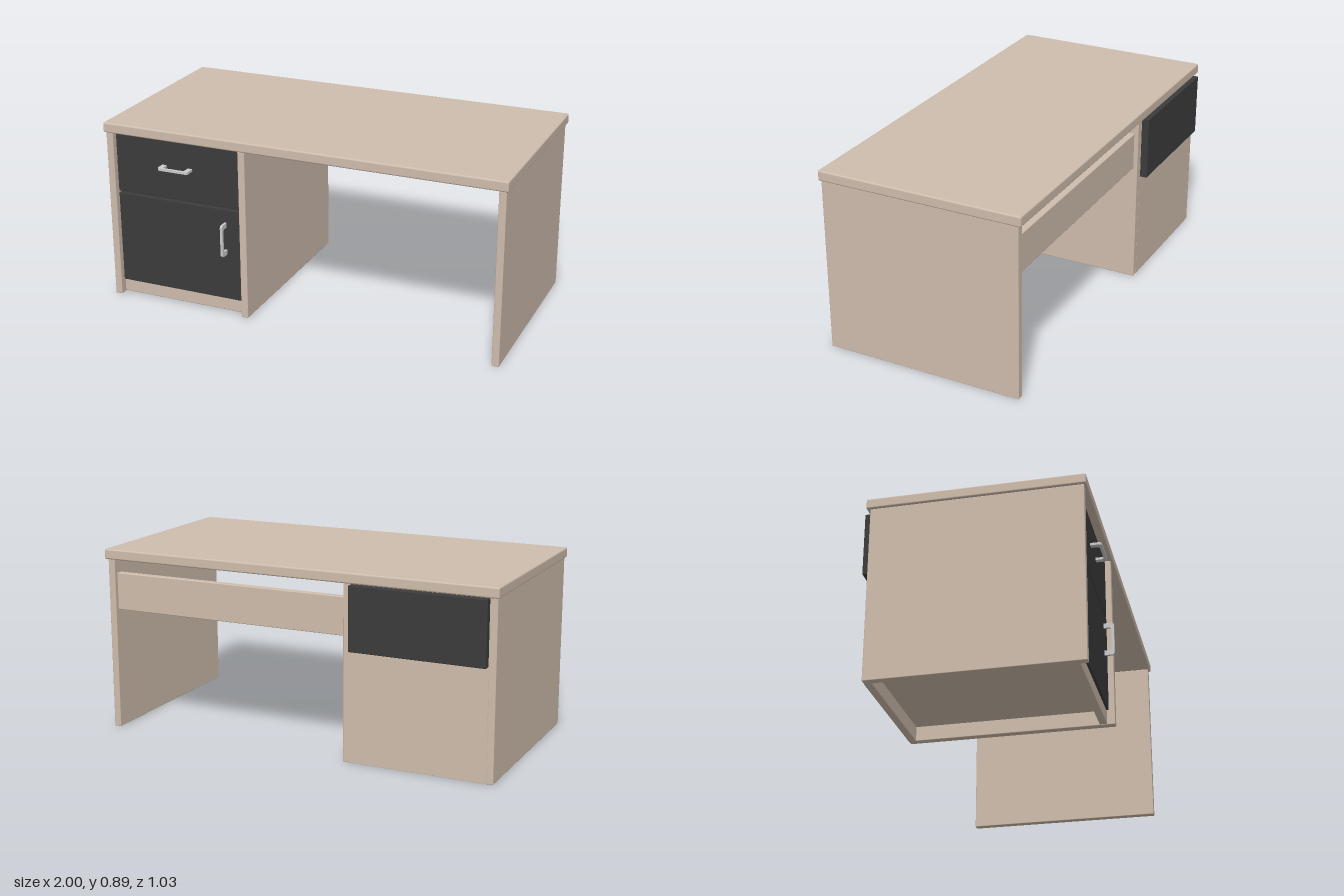
import * as THREE from 'three';
import { RoundedBoxGeometry } from 'three/addons/geometries/RoundedBoxGeometry.js';

const wood = new THREE.MeshStandardMaterial({ color: 0xcfbdad });
const dark = new THREE.MeshStandardMaterial({ color: 0x3c3c3c });
const metal = new THREE.MeshStandardMaterial({ color: 0xcccccc });

// Board given by its extents on each axis, with softly rounded edges
function board(name, [x0, x1], [y0, y1], [z0, z1], material, radius = 0.004) {
  const geometry = new RoundedBoxGeometry(x1 - x0, y1 - y0, z1 - z0, 2, radius);
  const mesh = new THREE.Mesh(geometry, material);
  mesh.name = name;
  mesh.position.set((x0 + x1) / 2, (y0 + y1) / 2, (z0 + z1) / 2);
  return mesh;
}

// Bow handle: a U-shaped outline extruded to a flat bar, lying along x and standing out to +z
function handle(name, length, depth, width) {
  const h = length / 2, t = 0.013, c = 0.014;
  const shape = new THREE.Shape();
  shape.moveTo(-h, 0);
  shape.lineTo(-h, depth - c);
  shape.quadraticCurveTo(-h, depth, -h + c, depth);
  shape.lineTo(h - c, depth);
  shape.quadraticCurveTo(h, depth, h, depth - c);
  shape.lineTo(h, 0);
  shape.lineTo(h - t * 1.8, 0);
  shape.lineTo(h - t * 1.8, depth - t - c);
  shape.quadraticCurveTo(h - t * 1.8, depth - t, h - t * 1.8 - c, depth - t);
  shape.lineTo(-h + t * 1.8 + c, depth - t);
  shape.quadraticCurveTo(-h + t * 1.8, depth - t, -h + t * 1.8, depth - t - c);
  shape.lineTo(-h + t * 1.8, 0);
  const geometry = new THREE.ExtrudeGeometry(shape, { depth: width, bevelEnabled: false, curveSegments: 6 });
  geometry.translate(0, 0, -width / 2);
  geometry.rotateX(Math.PI / 2);
  const mesh = new THREE.Mesh(geometry, metal);
  mesh.name = name;
  return mesh;
}

export function createModel() {
  const desk = new THREE.Group();
  desk.name = 'desk';

  // Worktop
  desk.add(board('worktop', [-1, 1], [0.845, 0.895], [-0.497, 0.502], wood, 0.008));

  // Upright panels: cabinet sides and the free leg
  const uprights = { cabinetOuterSide: -0.99, cabinetInnerSide: -0.295, legPanel: 0.955 };
  for (const [name, x] of Object.entries(uprights)) {
    desk.add(board(name, [x, x + 0.035], [0, 0.846], [-0.48, 0.492], wood));
  }

  // Modesty panel across the knee space
  desk.add(board('modestyPanel', [-0.262, 0.957], [0.593, 0.775], [-0.46, -0.425], wood));

  // Cabinet carcass
  const inside = [-0.957, -0.293];
  desk.add(board('cabinetBack', inside, [0, 0.845], [-0.48, -0.445], wood, 0.001));
  desk.add(board('cabinetFloor', inside, [0.07, 0.1], [-0.45, 0.44], wood));
  desk.add(board('plinth', inside, [0.004, 0.07], [0.42, 0.455], wood));

  // Drawer and door fronts, and the dark panel on the back
  const front = [-0.955, -0.297], faceZ = 0.465;
  desk.add(board('drawerFront', front, [0.542, 0.843], [0.43, faceZ], dark));
  desk.add(board('door', front, [0.07, 0.533], [0.43, faceZ], dark));
  desk.add(board('backPanel', [-0.955, -0.3], [0.536, 0.843], [-0.515, -0.479], dark));

  // Handles
  const drawerHandle = handle('drawerHandle', 0.16, 0.052, 0.012);
  drawerHandle.position.set(-0.627, 0.706, faceZ);
  const doorHandle = handle('doorHandle', 0.162, 0.048, 0.012);
  doorHandle.rotation.z = Math.PI / 2;
  doorHandle.position.set(-0.38, 0.386, faceZ);
  desk.add(drawerHandle, doorHandle);

  return desk;
}
